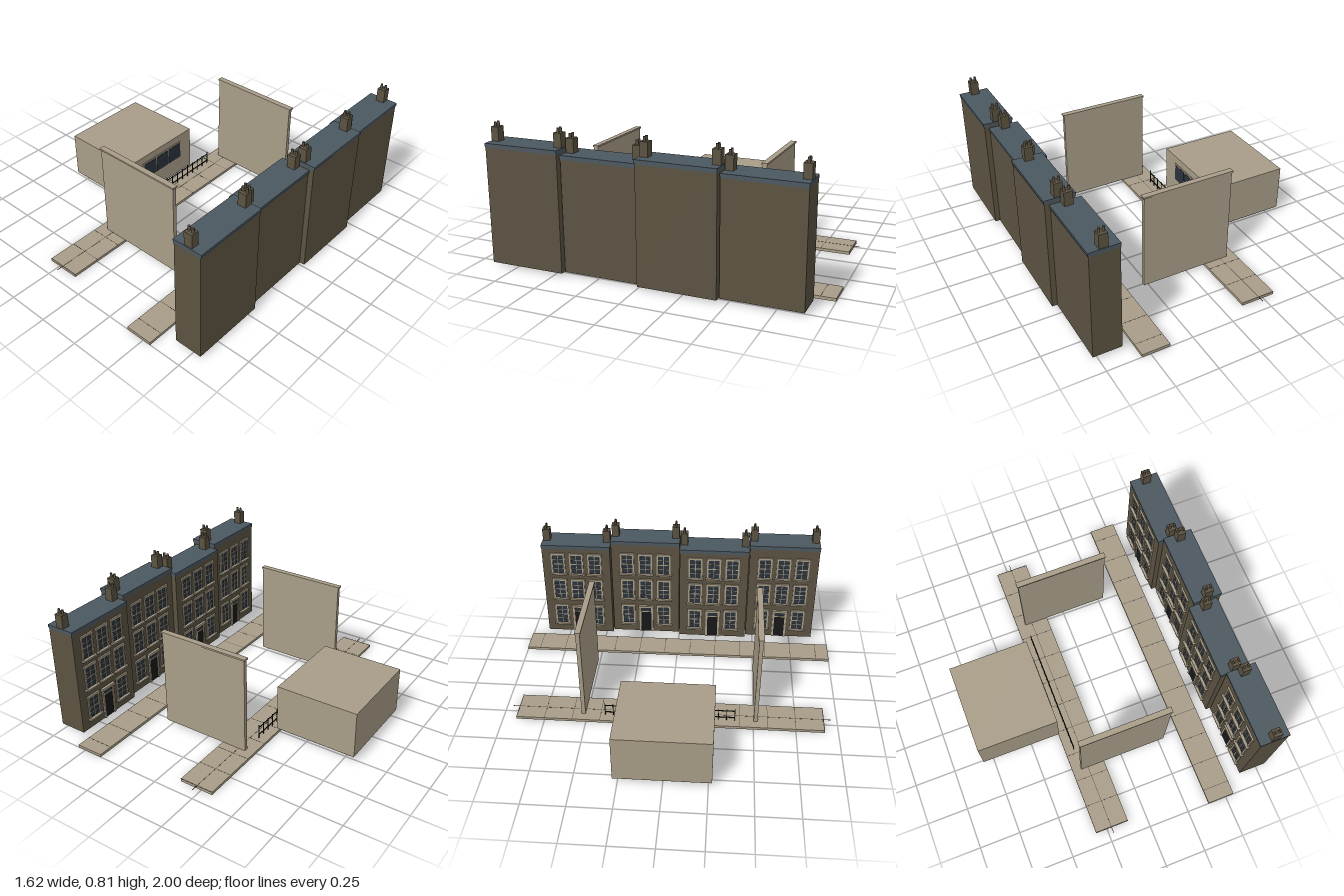
import * as THREE from 'three';

const mat = (name, color) => {
  const m = new THREE.MeshStandardMaterial({ color });
  m.name = name;
  return m;
};

export function createModel() {
  const stone = mat('stone', 0xa89d88);
  const brick = mat('brick', 0x5c5342);
  const slate = mat('slate', 0x4c5860);
  const glass = mat('glass', 0x2b333c);
  const iron = mat('iron', 0x17181a);
  const joint = mat('joint', 0x5a5448);

  const model = new THREE.Group();
  model.name = 'street';

  const group = (parent, name, x = 0, y = 0, z = 0) => {
    const g = new THREE.Group();
    g.name = name;
    g.position.set(x, y, z);
    parent.add(g);
    return g;
  };

  // Box given by its extents on each axis
  const box = (parent, name, material, [x0, x1], [y0, y1], [z0, z1]) => {
    const m = new THREE.Mesh(new THREE.BoxGeometry(x1 - x0, y1 - y0, z1 - z0), material);
    m.position.set((x0 + x1) / 2, (y0 + y1) / 2, (z0 + z1) / 2);
    m.name = name;
    parent.add(m);
    return m;
  };

  // Sash window on a wall facing -x, with its sill at y
  function addWindow(parent, y, z, h) {
    const g = group(parent, 'window', 0, y, z);
    const w = 0.036;
    box(g, 'pane', glass, [-0.002, 0.001], [0, h], [-w, w]);
    box(g, 'sill', stone, [-0.019, 0], [-0.01, 0], [-0.054, 0.054]);
    box(g, 'lintel', stone, [-0.01, 0], [h, h + 0.014], [-0.048, 0.048]);
    for (const s of [-1, 1]) {
      const c = s * (w + 0.004);
      box(g, 'jamb', stone, [-0.008, 0], [0, h], [c - 0.005, c + 0.005]);
    }
    box(g, 'mullion', stone, [-0.004, 0], [0, h], [-0.002, 0.002]);
    for (let i = 1; i < 4; i++) {
      const t = i === 2 ? 0.003 : 0.0015;
      box(g, 'glazingBar', stone, [-0.004, 0], [h * i / 4 - t, h * i / 4 + t], [-w, w]);
    }
  }

  // Front door with surround, fanlight and hood
  function addDoor(parent) {
    const g = group(parent, 'doorway', 0, 0.016, 0);
    box(g, 'door', iron, [-0.003, 0.001], [0, 0.155], [-0.034, 0.034]);
    box(g, 'fanlight', glass, [-0.003, 0.001], [0.162, 0.19], [-0.034, 0.034]);
    box(g, 'transom', stone, [-0.006, 0], [0.155, 0.162], [-0.034, 0.034]);
    box(g, 'hood', stone, [-0.016, 0], [0.19, 0.206], [-0.052, 0.052]);
    for (const s of [-1, 1]) {
      box(g, 'pilaster', stone, [-0.009, 0], [0, 0.19], [s * 0.04 - 0.006, s * 0.04 + 0.006]);
    }
  }

  // Chimney stack with two pots
  function addChimney(parent, x, y, z) {
    const g = group(parent, 'chimney', x, y, z);
    box(g, 'stack', brick, [-0.025, 0.025], [-0.01, 0.08], [-0.023, 0.023]);
    for (const s of [-1, 1]) {
      const pot = new THREE.Mesh(new THREE.CylinderGeometry(0.007, 0.008, 0.028, 8), brick);
      pot.position.set(s * 0.013, 0.092, 0);
      pot.name = 'chimneyPot';
      g.add(pot);
    }
  }

  function addHouse(x, z, top) {
    const g = group(model, 'house', x, 0, z);
    box(g, 'walls', brick, [0, 0.168], [0.016, top], [-0.2225, 0.2225]);
    box(g, 'gutter', slate, [-0.002, 0.17], [top, top + 0.01], [-0.2235, 0.2235]);
    box(g, 'roof', slate, [-0.004, 0.173], [top + 0.01, top + 0.025], [-0.2245, 0.2245]);
    for (const bay of [-0.12, 0, 0.12]) {
      if (bay) addWindow(g, 0.08, bay, 0.135);
      addWindow(g, 0.28, bay, 0.135);
      addWindow(g, 0.472, bay, 0.135);
    }
    addDoor(g);
    for (const s of [-1, 1]) addChimney(g, 0.087, top + 0.025, s * 0.197);
  }

  // Stepped terrace: alternate houses are lower and set forward
  [-0.675, -0.225, 0.225, 0.675].forEach((z, i) =>
    addHouse(i % 2 ? 0.637 : 0.608, z, i % 2 ? 0.68 : 0.65));

  // Pavements with cross joints between the slabs
  function addPavement(name, x0, x1, half) {
    const g = group(model, name);
    box(g, 'slabs', stone, [x0, x1], [0, 0.017], [-half, half]);
    for (let i = 0; i < 12; i++) {
      const z = -0.917 + i * 0.1667;
      box(g, 'joint', joint, [x0, x1], [0.016, 0.0175], [z - 0.0015, z + 0.0015]);
    }
    return g;
  }
  const farPavement = addPavement('farPavement', -0.32, -0.115, 0.92);
  addPavement('terracePavement', 0.385, 0.55, 1);
  box(farPavement, 'longJoint', joint, [-0.223, -0.22], [0.0155, 0.0178], [-0.958, 0.958]);

  // End walls with coping
  for (const z of [-0.52, 0.513]) {
    const g = group(model, 'endWall', 0, 0, z);
    box(g, 'wall', stone, [-0.265, 0.284], [0.017, 0.6], [-0.012, 0.012]);
    box(g, 'coping', stone, [-0.271, 0.29], [0.6, 0.61], [-0.017, 0.017]);
  }

  // Block opposite the terrace, with boarded underside and a window
  const block = group(model, 'block');
  box(block, 'blockBody', stone, [-0.813, -0.317], [0.04, 0.322], [-0.277, 0.27]);
  for (let i = 0; i < 20; i++) {
    const x = -0.811 + i * 0.0246;
    box(block, 'floorBoard', brick, [x, x + 0.0225], [0.036, 0.0405], [-0.275, 0.268]);
  }
  box(block, 'windowFrame', stone, [-0.317, -0.313], [0.15, 0.275], [-0.188, 0.158]);
  for (let i = 0; i < 3; i++) {
    const z = -0.178 + i * 0.111;
    box(block, 'windowPane', glass, [-0.314, -0.311], [0.16, 0.265], [z, z + 0.104]);
  }

  // Iron railing
  const railing = group(model, 'railing', -0.264, 0.017, 0);
  for (const y of [0.022, 0.07]) {
    box(railing, 'rail', iron, [-0.002, 0.002], [y - 0.0025, y + 0.0025], [-0.39, 0.39]);
  }
  for (let i = 0; i <= 16; i++) {
    const z = -0.388 + i * 0.0485;
    box(railing, 'bar', iron, [-0.002, 0.002], [0, i % 4 ? 0.08 : 0.088], [z - 0.002, z + 0.002]);
  }

  return model;
}
